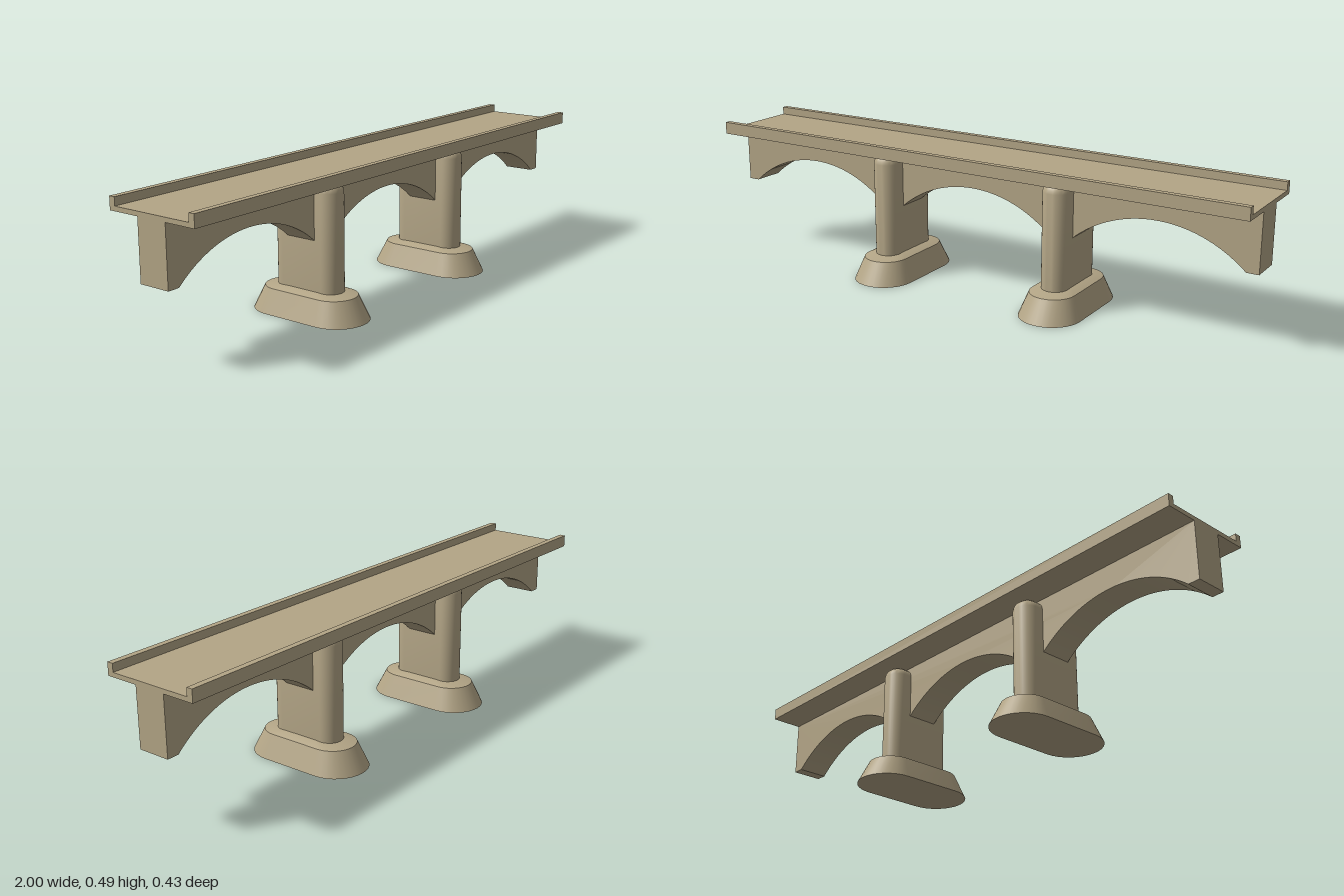
import * as THREE from 'three';
import { toCreasedNormals } from 'three/addons/utils/BufferGeometryUtils.js';

const SEG = 16; // segments in each rounded end

// Stack of stadium-shaped rings: [radius, half straight length, y]
function stadiumLoft(rings) {
  const pos = [];
  const idx = [];
  const n = 2 * (SEG + 1);
  for (const [r, s, y] of rings) {
    for (let end = 0; end < 2; end++) {
      for (let k = 0; k <= SEG; k++) {
        const a = Math.PI * (end + k / SEG);
        pos.push(r * Math.cos(a), y, r * Math.sin(a) + (end ? -s : s));
      }
    }
  }
  for (let i = 0; i < rings.length - 1; i++) {
    for (let j = 0; j < n; j++) {
      const a = i * n + j;
      const b = i * n + ((j + 1) % n);
      if (rings[i][0] > 0) idx.push(a, a + n, b);
      if (rings[i + 1][0] > 0) idx.push(b, a + n, b + n);
    }
  }
  const g = new THREE.BufferGeometry();
  g.setAttribute('position', new THREE.Float32BufferAttribute(pos, 3));
  g.setIndex(idx);
  return toCreasedNormals(g, 0.6);
}

export function createModel() {
  const group = new THREE.Group();
  const stone = new THREE.MeshStandardMaterial({ color: 0xb3a586 });
  stone.name = 'stone';
  const add = (name, geometry, x = 0) => {
    const mesh = new THREE.Mesh(geometry, stone);
    mesh.name = name;
    mesh.position.x = x;
    group.add(mesh);
  };

  // Deck with a parapet along each edge, one profile swept along x
  const deck = new THREE.Shape([
    [-0.167, 0.448], [0.167, 0.448], [0.167, 0.49], [0.146, 0.49],
    [0.146, 0.463], [-0.146, 0.463], [-0.146, 0.49], [-0.167, 0.49],
  ].map(([z, y]) => new THREE.Vector2(z, y)));
  const deckGeometry = new THREE.ExtrudeGeometry(deck, { depth: 2, bevelEnabled: false });
  deckGeometry.translate(0, 0, -1).rotateY(Math.PI / 2);
  add('deckAndParapets', deckGeometry);

  // Spandrel wall with three segmental arches
  const bottom = 0.253, crown = 0.365, half = 0.293, span = 2 / 3;
  const rise = crown - bottom;
  const radius = (half * half + rise * rise) / (2 * rise);
  const angle = Math.asin(half / radius);
  const wall = new THREE.Shape();
  wall.moveTo(-1, 0.448);
  wall.lineTo(-1, bottom);
  for (let i = -1; i <= 1; i++) {
    wall.lineTo(i * span - half, bottom);
    wall.absarc(i * span, crown - radius, radius, Math.PI / 2 + angle, Math.PI / 2 - angle, true);
  }
  wall.lineTo(1, bottom);
  wall.lineTo(1, 0.448);
  const wallGeometry = new THREE.ExtrudeGeometry(wall, {
    depth: 0.11, bevelEnabled: false, curveSegments: 32,
  });
  wallGeometry.translate(0, 0, -0.055);
  add('archedWall', toCreasedNormals(wallGeometry, 0.5));

  // Pier shaft with rounded shoulders
  const shaft = stadiumLoft([
    [0, 0, 0.07], [0.047, 0.078, 0.07], [0.047, 0.078, 0.413], [0.0445, 0.078, 0.423],
    [0.04, 0.078, 0.432], [0.032, 0.078, 0.439], [0.022, 0.078, 0.444],
    [0.01, 0.078, 0.447], [0, 0, 0.447],
  ]);

  // Flared footing with a slightly domed top
  const domed = [1, 0.85, 0.7, 0.55, 0.3, 0].map(
    (t) => [0.078 * t, 0.094 * t, 0.079 + 0.018 * (1 - t * t)]);
  const footing = stadiumLoft([[0, 0, 0], [0.107, 0.106, 0], ...domed]);

  for (const side of [-1, 1]) {
    const name = side > 0 ? 'left' : 'right';
    add(name + 'PierShaft', shaft, side / 3);
    add(name + 'PierFooting', footing, side / 3);
  }
  return group;
}
